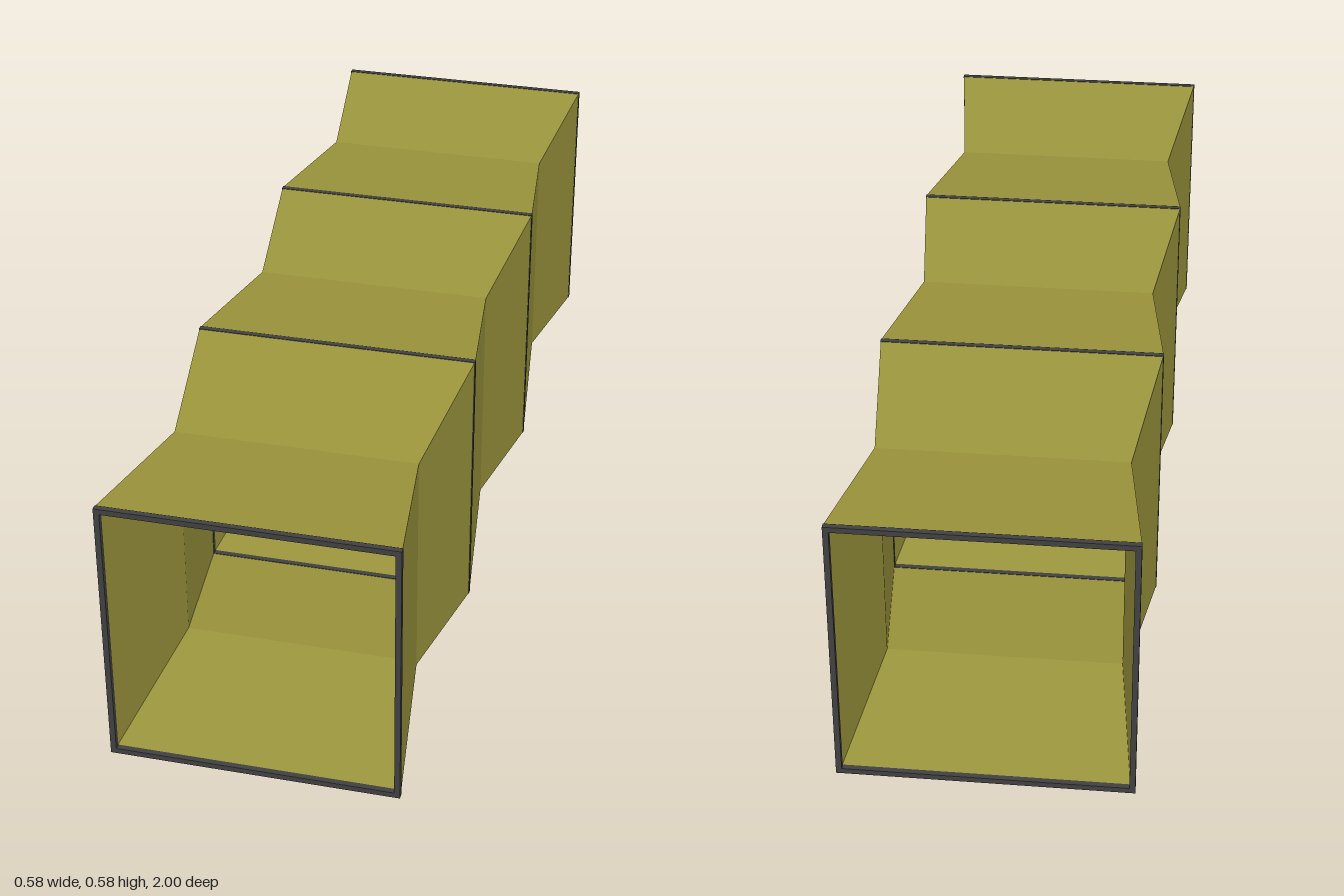
import * as THREE from 'three';

const HALF = 0.2915; // half width of the square frames

// Square tube along z: a four-sided lathe of [half width, z] pairs
function squareTube(profile, material, name) {
  const points = profile.map(([half, z]) => new THREE.Vector2(half * Math.SQRT2, z));
  const geometry = new THREE.LatheGeometry(points, 4, Math.PI / 4);
  geometry.rotateX(Math.PI / 2);
  const mesh = new THREE.Mesh(geometry, material);
  mesh.name = name;
  mesh.position.y = HALF;
  return mesh;
}

export function createModel() {
  const model = new THREE.Group();
  model.name = 'bellowsDuct';
  const fabric = new THREE.MeshStandardMaterial({ color: 0x9a943c, flatShading: true });
  const metal = new THREE.MeshStandardMaterial({ color: 0x404040, flatShading: true });

  const frameZ = [-0.994, -0.328, 0.325, 0.994];
  const waists = [[0.25, -0.668], [0.25, -0.003], [0.246, 0.65]];
  const t = 0.006; // half thickness of a frame

  // Frames: closed square rings
  for (const z of frameZ) {
    model.add(squareTube([
      [0.28, z - t], [HALF, z - t], [HALF, z + t], [0.28, z + t], [0.28, z - t],
    ], metal, 'squareFrame'));
  }

  // Fabric sections: outer and inner walls pinched at the waist
  waists.forEach(([half, z], i) => {
    const back = frameZ[i] + t, front = frameZ[i + 1] - t;
    model.add(squareTube([
      [0.2905, back], [half, z], [0.2905, front],
      [0.281, front], [half - 0.008, z], [0.281, back], [0.2905, back],
    ], fabric, 'fabricSection'));
  });

  return model;
}
